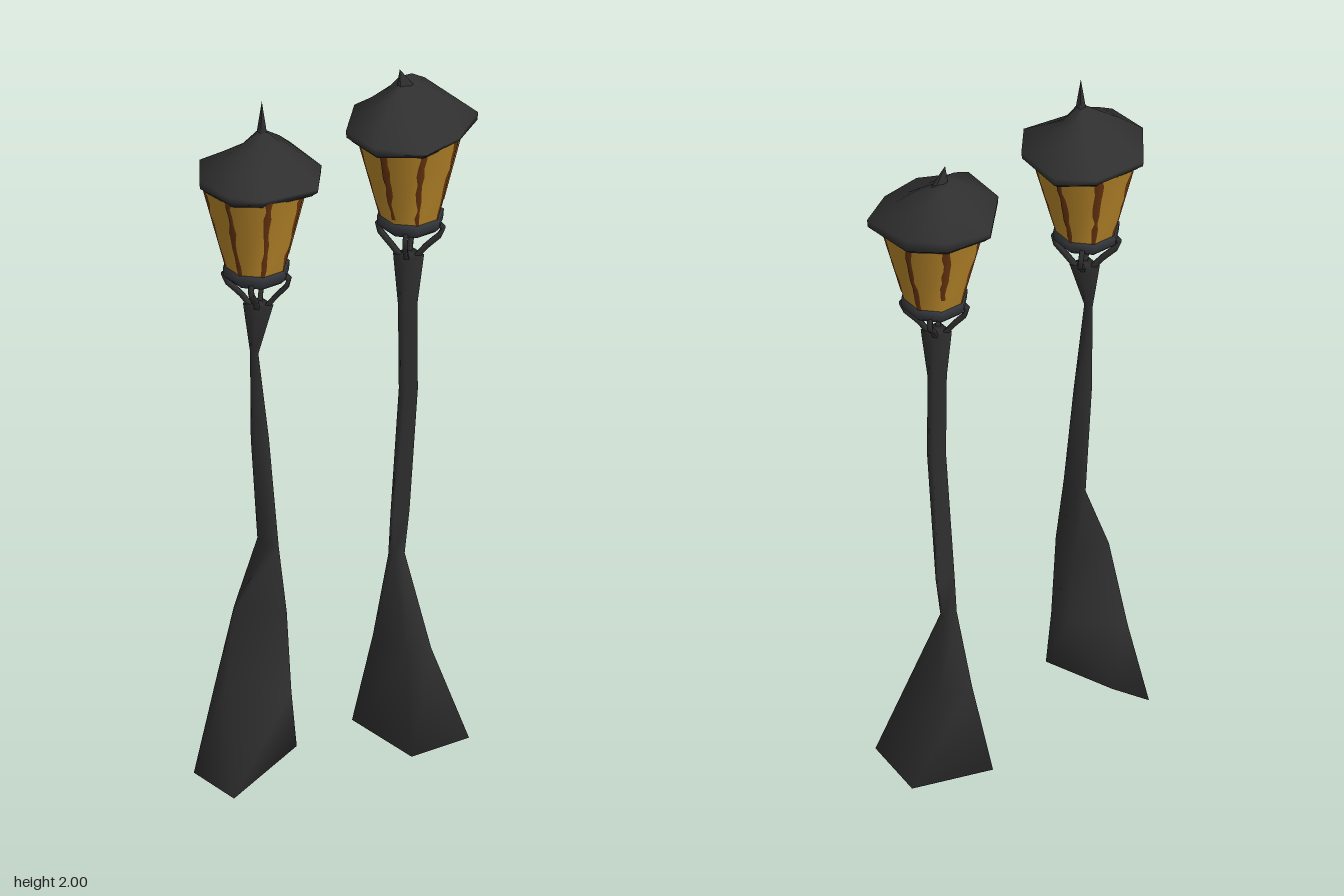
import * as THREE from 'three';

const iron = new THREE.MeshStandardMaterial({ name: 'blackIron', color: 0x2f2f2f, side: THREE.DoubleSide });
const trim = new THREE.MeshStandardMaterial({ name: 'greyTrim', color: 0x32353a, side: THREE.DoubleSide });
const amber = new THREE.MeshStandardMaterial({ name: 'amberGlass', color: 0xba882a, side: THREE.DoubleSide });
const rust = new THREE.MeshStandardMaterial({ name: 'rustStreak', color: 0x6a3510, side: THREE.DoubleSide });

function mesh(name, geometry, material) {
  const m = new THREE.Mesh(geometry, material);
  m.name = name;
  return m;
}

// Skin a stack of rings (each a loop of [x, y, z], counterclockwise from above)
function loft(rings, closed = true) {
  const n = rings[0].length, idx = [];
  const spans = closed ? n : n - 1;
  for (let r = 0; r < rings.length - 1; r++) {
    for (let i = 0; i < spans; i++) {
      const j = (i + 1) % n, a = r * n + i, b = r * n + j, c = b + n, d = a + n;
      idx.push(a, b, c, a, c, d);
    }
  }
  const g = new THREE.BufferGeometry();
  g.setAttribute('position', new THREE.Float32BufferAttribute(rings.flat(2), 3));
  g.setIndex(idx);
  g.computeVertexNormals();
  return g;
}

function ringAt(cx, y, radius, cz = 0) {
  return Array.from({ length: 8 }, (_, i) => {
    const t = (i + 0.5) * Math.PI / 4;
    return [cx + radius * Math.cos(t), y, cz - radius * Math.sin(t)];
  });
}

const point = (x, y, z) => Array.from({ length: 8 }, () => [x, y, z]);
const lerp = (a, b, t) => a.map((v, i) => v + (b[i] - v) * t);

function seeded(seed) {
  return () => (seed = (seed * 16807) % 2147483647) / 2147483647;
}

function buildLamp(name, spec) {
  const lamp = new THREE.Group();
  lamp.name = name;
  const { cx, neckX, rim } = spec;
  const rand = seeded(spec.seed);

  // Warped four-cornered post
  lamp.add(mesh('post', loft(spec.post), iron));

  // Bent struts cradling the lantern
  for (let i = 0; i < 4; i++) {
    const t = (i + 0.5) * Math.PI / 2, c = Math.cos(t), s = Math.sin(t);
    const out = i === spec.bentStrut ? 0.115 : 0.088;
    const curve = new THREE.CatmullRomCurve3([
      new THREE.Vector3(neckX + 0.015 * c, 1.385, 0.015 * s),
      new THREE.Vector3(neckX + 0.045 * c, 1.425, 0.045 * s),
      new THREE.Vector3(cx + out * c, 1.478, out * s),
      new THREE.Vector3(cx + 0.07 * c, 1.5, 0.07 * s),
    ]);
    lamp.add(mesh('strut', new THREE.TubeGeometry(curve, 6, 0.009, 4), iron));
  }

  // Collar under the glass
  lamp.add(mesh('collar', loft([
    point(cx, 1.485, 0), ringAt(cx, 1.482, 0.075), ringAt(cx, 1.495, 0.088),
    ringAt(cx, 1.52, 0.09), ringAt(cx, 1.525, 0.07), point(cx, 1.525, 0),
  ]), trim));

  // Flared glass
  const low = ringAt(cx, 1.515, 0.081), high = ringAt(cx, 1.772, 0.146);
  lamp.add(mesh('glass', loft([low, high]), amber));

  // Ragged rust streaks down the glass corners
  const outer = (p) => [cx + (p[0] - cx) * 1.015, p[1], p[2] * 1.015];
  for (let i = 0; i < 8; i++) {
    const prev = (i + 7) % 8, next = (i + 1) % 8, rows = [];
    const start = i % 3 === 1 ? 0.2 * rand() : 0;
    for (let k = 0; k <= 9; k++) {
      const t = start + (1 - start) * k / 9;
      const at = (c) => lerp(low[c], high[c], t);
      const v = at(i);
      rows.push([
        outer(lerp(v, at(prev), 0.04 + 0.11 * rand())),
        outer(v),
        outer(lerp(v, at(next), 0.04 + 0.11 * rand())),
      ]);
    }
    lamp.add(mesh('rustStreak', loft(rows, false), rust));
  }

  // Crumpled roof: rim outline shrinking towards an off-centre crown
  const [px, py, pz] = spec.peak;
  const shrink = (k, y, lift = 0) => rim.map(([x, z], i) =>
    [px + (x - px) * k, y + (spec.lift[i] || 0) * lift, pz + (z - pz) * k]);
  lamp.add(mesh('roof', loft([
    shrink(0.88, 1.757), shrink(0.99, 1.772), shrink(1, 1.787, 0.5),
    shrink(0.62, 1.828, 1), shrink(0.3, 1.865, 1), shrink(0.08, spec.crown), point(px, spec.crown + 0.004, pz),
  ]), iron));
  lamp.add(mesh('roofUnderside', loft([point(cx, 1.76, 0), shrink(0.9, 1.758)]), trim));

  // Leaning finial spike
  const base = [[-1, 1], [1, 1], [1, -1], [-1, -1]].map(([a, b]) =>
    [px + a * spec.spike + spec.spikeLean, spec.crown - 0.025, pz + b * 0.012]);
  lamp.add(mesh('finial', loft([base, base.map(() => [px, py, pz])]), iron));
  return lamp;
}

// One post level: four corners, front-left, front-right, back-right, back-left
const level = (y, ...corners) => corners.map(([x, z, dy = 0]) => [x, y + dy, z]);

export function createModel() {
  const model = new THREE.Group();
  model.name = 'streetLamps';

  model.add(buildLamp('tiltedLamp', {
    cx: -0.255, neckX: -0.248, seed: 17, bentStrut: 3,
    post: [
      level(0, [-0.27, 0, 0.04], [-0.27, 0, 0.04], [-0.27, 0, 0.04], [-0.27, 0, 0.04]),
      level(0, [-0.37, 0.06], [-0.175, 0.07, 0.1], [-0.25, -0.12, 0.09], [-0.37, -0.12]),
      level(0.26, [-0.31, -0.06], [-0.185, 0.06], [-0.2, 0.0], [-0.315, -0.1]),
      level(0.5, [-0.3, -0.03], [-0.2, 0.06], [-0.19, -0.035], [-0.295, -0.045]),
      level(0.69, [-0.235, 0.03], [-0.215, 0.045], [-0.2, -0.03], [-0.23, -0.03]),
      level(1, [-0.268, 0.01], [-0.225, 0.015], [-0.215, -0.018], [-0.262, -0.015]),
      level(1.26, [-0.27, 0.008], [-0.257, 0.012], [-0.255, -0.012], [-0.268, -0.01]),
      level(1.4, [-0.278, 0.028], [-0.22, 0.028], [-0.22, -0.028], [-0.278, -0.028]),
      level(1.4, [-0.25, 0], [-0.25, 0], [-0.25, 0], [-0.25, 0]),
    ],
    rim: [[-0.4, 0.08], [-0.33, 0.135], [-0.17, 0.16], [-0.095, 0.07],
      [-0.09, -0.08], [-0.18, -0.145], [-0.33, -0.15], [-0.41, -0.04]],
    lift: [0.012, -0.01, -0.01, 0.01, 0.02, 0.0, 0.0, 0.02],
    peak: [-0.243, 2, 0.008], crown: 1.91, spike: 0.012, spikeLean: 0,
  }));

  model.add(buildLamp('uprightLamp', {
    cx: 0.242, neckX: 0.235, seed: 91, bentStrut: -1,
    post: [
      level(0, [0.25, 0], [0.25, 0], [0.25, 0], [0.25, 0]),
      level(0, [0.145, 0.14], [0.33, 0.14], [0.36, -0.06], [0.14, -0.12]),
      level(0.26, [0.175, 0.075], [0.255, 0.075], [0.278, -0.07], [0.175, -0.075]),
      level(0.5, [0.207, -0.028], [0.245, -0.03], [0.25, -0.05], [0.205, -0.048]),
      level(0.62, [0.21, -0.03], [0.262, -0.032], [0.268, -0.052], [0.21, -0.045]),
      level(1, [0.216, 0.012], [0.255, 0.015], [0.26, -0.018], [0.216, -0.016]),
      level(1.25, [0.212, 0.014], [0.254, 0.014], [0.256, -0.014], [0.212, -0.014]),
      level(1.4, [0.206, 0.028], [0.266, 0.028], [0.266, -0.028], [0.206, -0.028]),
      level(1.4, [0.235, 0], [0.235, 0], [0.235, 0], [0.235, 0]),
    ],
    rim: [[0.07, 0.08], [0.18, 0.16], [0.3, 0.14], [0.41, 0.07],
      [0.395, -0.08], [0.31, -0.15], [0.18, -0.165], [0.07, -0.05]],
    lift: [0.015, -0.02, -0.01, 0.015, 0.04, 0.03, 0.0, 0.01],
    peak: [0.222, 1.94, -0.02], crown: 1.89, spike: 0.03, spikeLean: 0.025,
  }));
  return model;
}
